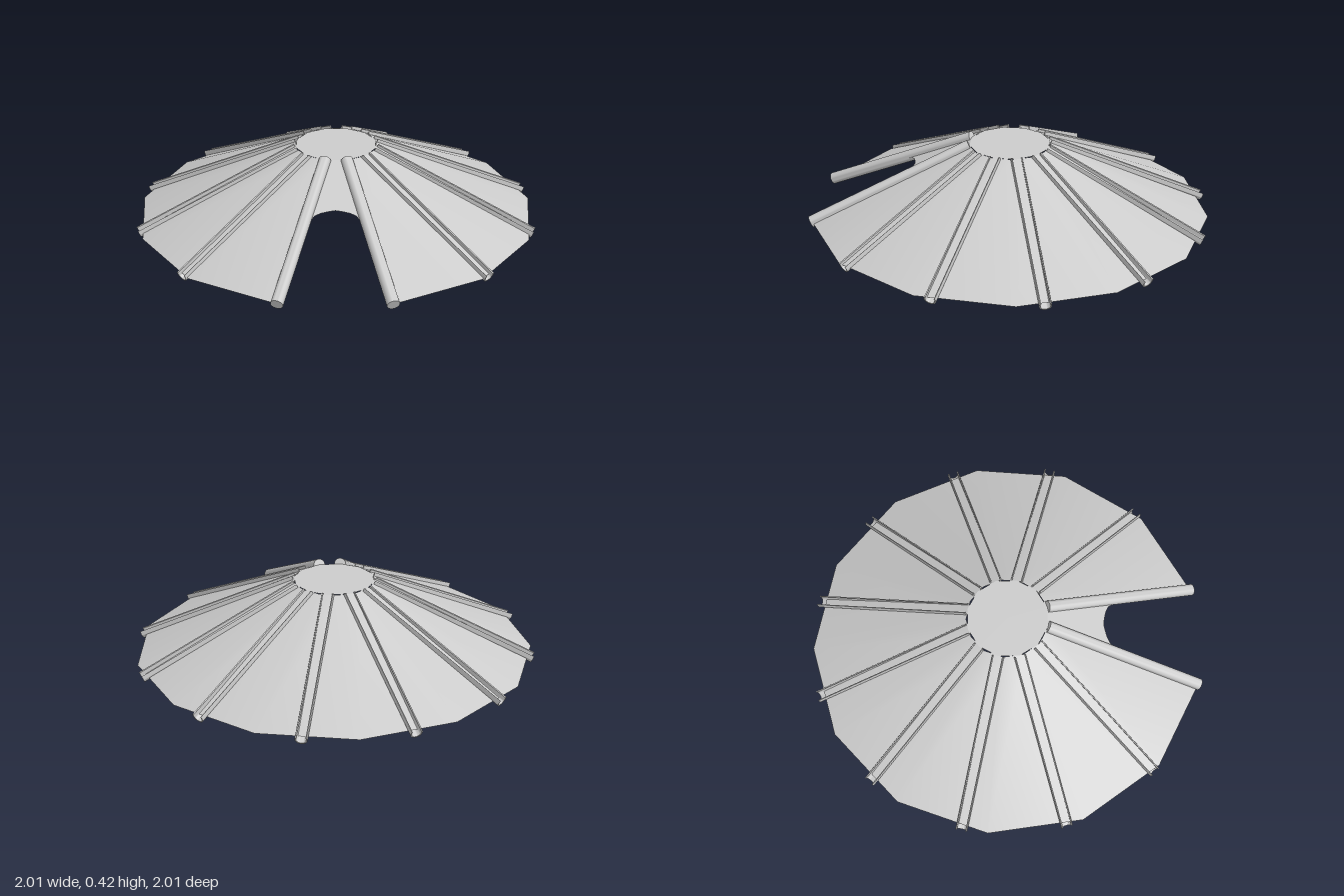
import * as THREE from 'three';
import { toCreasedNormals } from 'three/addons/utils/BufferGeometryUtils.js';

const SIDES = 12, STEP = (Math.PI * 2) / SIDES;
const R_TOP = 0.207, R_BASE = 1.015, Y_TOP = 0.393, Y_BASE = 0.028;
const RIB_R = 0.03, RIB_END = 1.02;

export function createModel() {
  const group = new THREE.Group();
  const grey = new THREE.MeshStandardMaterial({ color: 0xcccccc });
  const sheet = new THREE.MeshStandardMaterial({ color: 0xcccccc, side: THREE.DoubleSide });
  const add = (name, geometry, material, parent = group) => {
    const mesh = new THREE.Mesh(geometry, material);
    mesh.name = name;
    parent.add(mesh);
    return mesh;
  };

  // Eleven sloping roof panels, leaving the front side open
  const roof = add('roofPanels', new THREE.CylinderGeometry(
    R_TOP, R_BASE, Y_TOP - Y_BASE, SIDES, 1, true, STEP / 2, STEP * (SIDES - 1)), sheet);
  roof.position.y = (Y_TOP + Y_BASE) / 2;

  // Flat twelve-sided cap
  const cap = add('roofCap', new THREE.CircleGeometry(R_TOP, SIDES, STEP / 2), sheet);
  cap.rotation.x = -Math.PI / 2;
  cap.position.y = Y_TOP;

  // Front panel above the arched doorway, drawn in plan and laid on the slope
  const c = Math.cos(STEP / 2), t = Math.tan(STEP / 2);
  const zTop = R_TOP * c, zBase = R_BASE * c;
  const half = [[zTop * t, zTop], [0.57 * t, 0.57], [0.12, 0.55], [0.1, 0.52], [0.07, 0.505], [0.03, 0.495]];
  const outline = [...half, [0, 0.49], ...half.map(([x, z]) => [-x, z]).reverse()];
  const panel = new THREE.ShapeGeometry(new THREE.Shape(outline.map(([x, z]) => new THREE.Vector2(x, -z))));
  const pos = panel.attributes.position;
  for (let i = 0; i < pos.count; i++) {
    const z = -pos.getY(i);
    pos.setXYZ(i, pos.getX(i), Y_TOP + (Y_BASE - Y_TOP) * (z - zTop) / (zBase - zTop), z);
  }
  panel.computeVertexNormals();
  add('doorPanel', panel, sheet);

  // Rib sections: a channel open at the top, and a full round pole for the doorway
  const lip = 0.5, inner = RIB_R - 0.006;
  const channel = new THREE.Shape();
  channel.absarc(0, 0, RIB_R, Math.PI - lip, Math.PI * 2 + lip, false);
  channel.absarc(0, 0, inner, Math.PI * 2 + lip, Math.PI - lip, true);
  channel.closePath();
  const round = new THREE.Shape().absarc(0, 0, RIB_R, 0, Math.PI * 2, false);

  const run = RIB_END - R_TOP, drop = Y_TOP - Y_BASE;
  const extrude = (shape) => toCreasedNormals(new THREE.ExtrudeGeometry(shape, {
    depth: Math.hypot(run, drop), bevelEnabled: false, curveSegments: 12 }), 0.7);
  const channelGeometry = extrude(channel), roundGeometry = extrude(round);

  // One rib along each corner of the roof
  for (let i = 0; i < SIDES; i++) {
    const atDoor = i === 0 || i === SIDES - 1;
    const arm = new THREE.Group();
    arm.name = atDoor ? 'doorPole' : 'roofRib';
    arm.rotation.y = STEP * (i + 0.5);
    const rib = add(arm.name + 'Bar', atDoor ? roundGeometry : channelGeometry, grey, arm);
    rib.position.set(0, Y_TOP, R_TOP);
    rib.rotation.x = Math.atan2(drop, run);
    group.add(arm);
  }
  return group;
}
